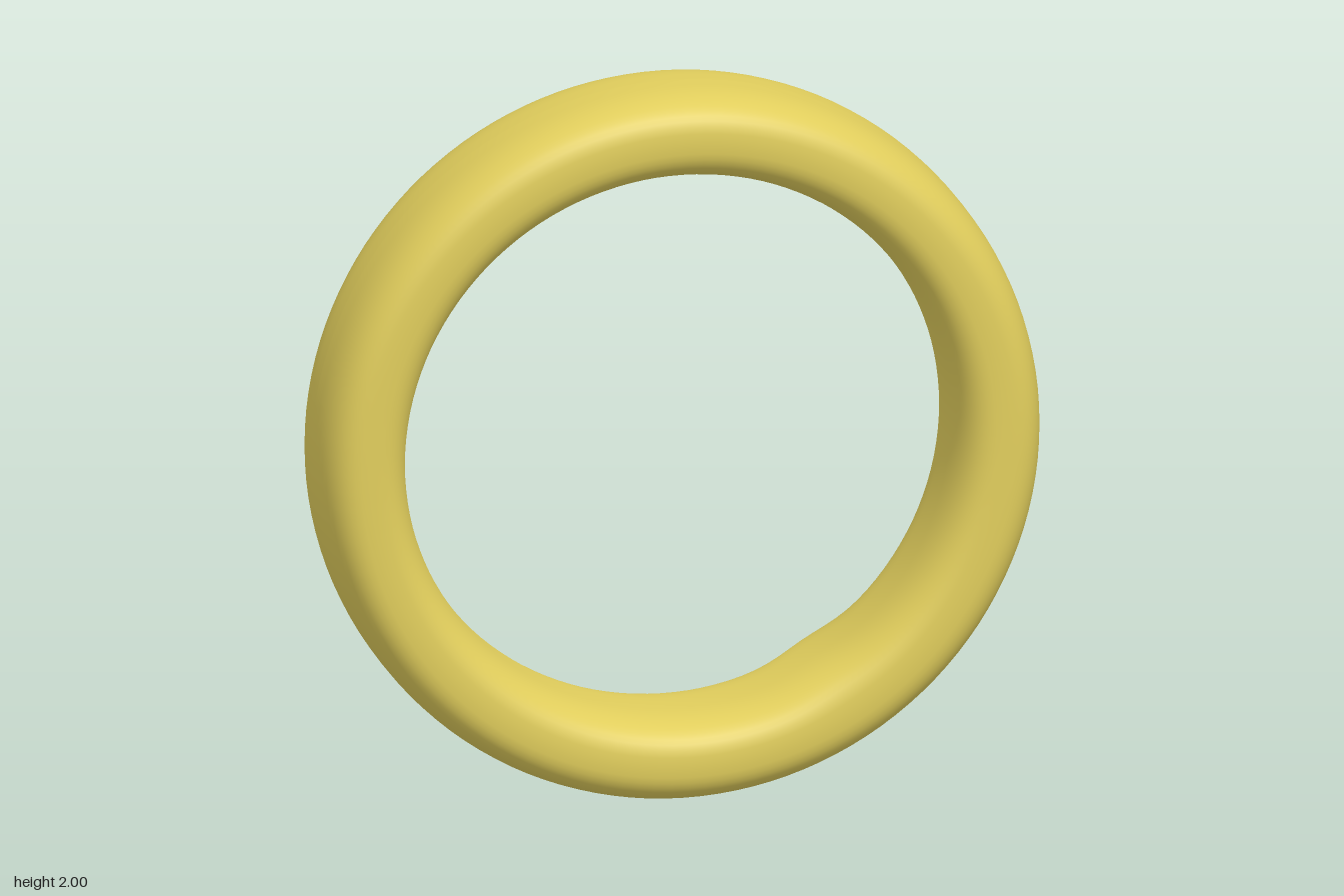
import * as THREE from 'three';

// Rounded band: a superellipse cross-section swept around the z axis
export function createModel() {
  const group = new THREE.Group();
  const midRadius = 0.879, halfThick = 0.121, halfWidth = 0.214, power = 2 / 2.8;
  const soft = (v) => Math.sign(v) * Math.pow(Math.abs(v), power);

  const profile = [];
  const steps = 48;
  for (let i = 0; i <= steps; i++) {
    const a = (i / steps) * Math.PI * 2;
    profile.push(new THREE.Vector2(midRadius + halfThick * soft(Math.cos(a)), halfWidth * soft(Math.sin(a))));
  }
  const geometry = new THREE.LatheGeometry(profile, 128);
  geometry.rotateX(Math.PI / 2);

  // Slight swelling on the inside, low on the left
  const pos = geometry.attributes.position;
  for (let i = 0; i < pos.count; i++) {
    const x = pos.getX(i), y = pos.getY(i), r = Math.hypot(x, y);
    const inner = Math.max(0, (midRadius - r) / halfThick);
    const d = (Math.atan2(y, x) + 1.02) / 0.14;
    const k = 1 - (0.018 * inner * Math.exp(-d * d)) / r;
    pos.setXY(i, x * k, y * k);
  }

  const ring = new THREE.Mesh(geometry, new THREE.MeshStandardMaterial({ color: 0xe0cd5c }));
  ring.name = 'ringBand';
  ring.position.y = 1;
  group.add(ring);
  return group;
}
